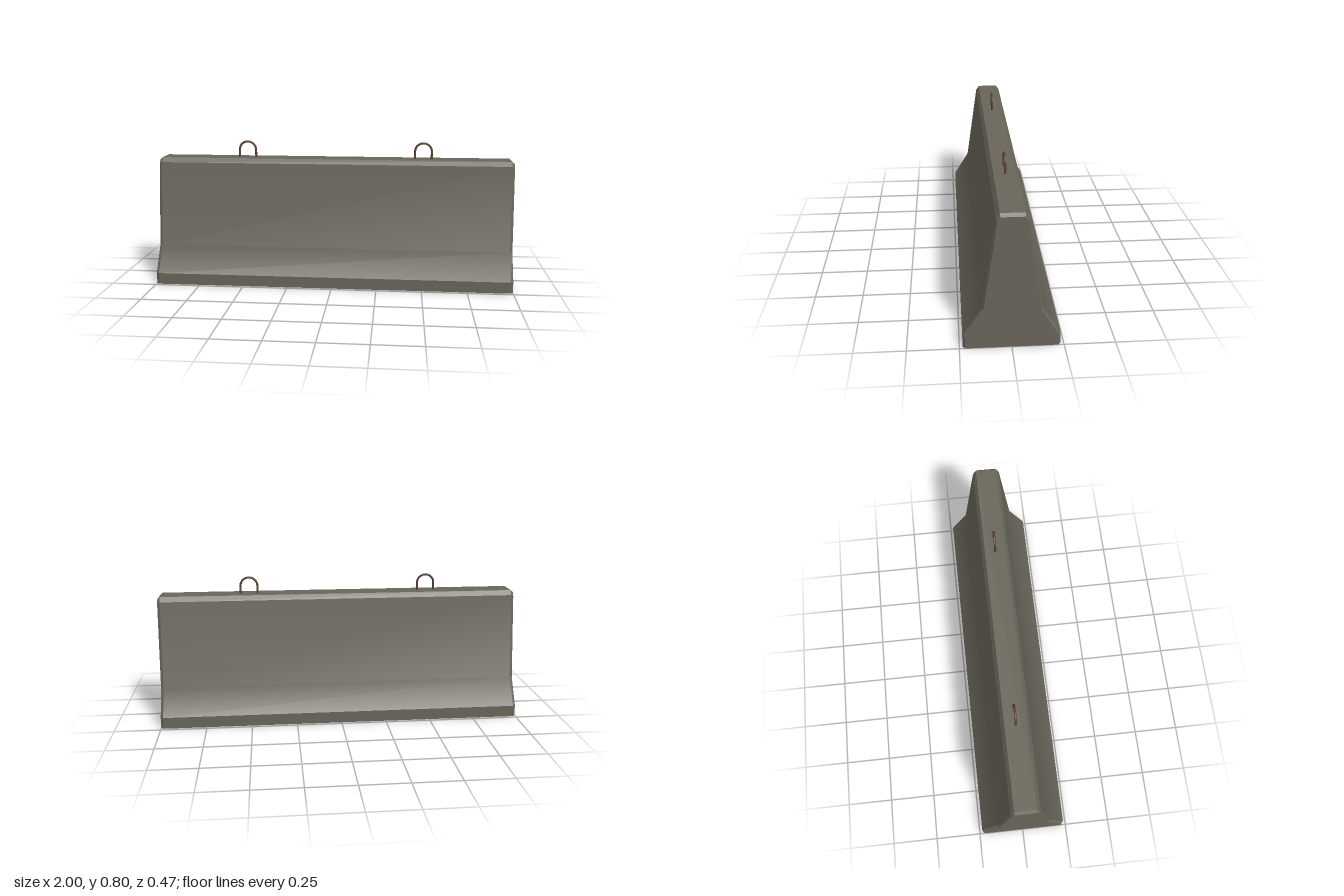
import * as THREE from 'three';

// Half profile of the barrier as [z, y], from the foot up to the crown
const OUTER = [[0.234, 0], [0.234, 0.063], [0.143, 0.208], [0.076, 0.676], [0.058, 0.702]];
// The same profile drawn in for the chamfered end faces
const INNER = [[0.222, 0], [0.222, 0.06], [0.136, 0.203], [0.068, 0.668], [0.056, 0.688]];
const END = 1, SHOULDER = 0.985;

// Closed section at x, running up the front and down the back
function section(half, x) {
  const front = half.map(([z, y]) => [x, y, z]);
  const back = half.map(([z, y]) => [x, y, -z]).reverse();
  return [...front, ...back];
}

function geometryFrom(positions, index) {
  const g = new THREE.BufferGeometry();
  g.setAttribute('position', new THREE.Float32BufferAttribute(positions.flat(), 3));
  if (index) g.setIndex(index);
  g.computeVertexNormals();
  return g;
}

export function createModel() {
  const model = new THREE.Group();
  const concrete = new THREE.MeshStandardMaterial({ color: 0x69655a });
  concrete.name = 'concrete';
  const rust = new THREE.MeshStandardMaterial({ color: 0x5f4330 });
  rust.name = 'rustySteel';

  const add = (parent, name, geometry, material) => {
    const mesh = new THREE.Mesh(geometry, material);
    mesh.name = name;
    parent.add(mesh);
    return mesh;
  };

  const barrier = new THREE.Group();
  barrier.name = 'barrier';
  model.add(barrier);

  const rings = [section(INNER, -END), section(OUTER, -SHOULDER), section(OUTER, SHOULDER), section(INNER, END)];
  const n = rings[0].length;

  // Sloping sides: skirt and upper wall share a softened bend
  for (const [name, start] of [['frontSlope', 1], ['backSlope', 6]]) {
    const points = [];
    for (let k = start; k < start + 3; k++) points.push(rings[1][k], rings[2][k]);
    const index = [];
    for (let a = 0; a < 4; a += 2) index.push(a, a + 1, a + 3, a, a + 3, a + 2);
    add(barrier, name, geometryFrom(points, index), concrete);
  }

  // Flat foot, crown and underside strips, and the chamfers round both ends
  const slopes = [1, 2, 6, 7];
  const flat = [];
  for (let r = 0; r < 3; r++) {
    for (let k = 0; k < n; k++) {
      if (r === 1 && slopes.includes(k)) continue;
      const j = (k + 1) % n;
      const [a, b, c, d] = [rings[r][k], rings[r + 1][k], rings[r + 1][j], rings[r][j]];
      flat.push(a, b, c, a, c, d);
    }
  }
  add(barrier, 'footCrownAndChamfers', geometryFrom(flat), concrete);

  // End faces, built as bands between the front and back edges
  for (const [name, ring, side] of [['leftEnd', rings[3], 1], ['rightEnd', rings[0], -1]]) {
    const face = [];
    for (let k = 0; k < n / 2 - 1; k++) {
      const [a, b, c, d] = [ring[k], ring[n - 1 - k], ring[n - 2 - k], ring[k + 1]];
      face.push(...(side > 0 ? [a, b, c, a, c, d] : [a, c, b, a, d, c]));
    }
    add(barrier, name, geometryFrom(face), concrete);
  }

  // Steel lifting loops set into the crown
  const R = 0.047, Y = 0.744;
  const path = new THREE.CurvePath();
  const arc = [];
  for (let i = 0; i <= 12; i++) {
    const t = Math.PI * (1 - i / 12);
    arc.push(new THREE.Vector3(R * Math.cos(t), Y + R * Math.sin(t), 0));
  }
  path.add(new THREE.LineCurve3(new THREE.Vector3(-R, 0.68, 0), arc[0]));
  path.add(new THREE.CatmullRomCurve3(arc));
  path.add(new THREE.LineCurve3(arc[12], new THREE.Vector3(R, 0.68, 0)));
  const loop = new THREE.TubeGeometry(path, 40, 0.006, 8);
  for (const [name, x] of [['leftLiftingLoop', 0.5], ['rightLiftingLoop', -0.5]]) {
    add(model, name, loop, rust).position.x = x;
  }
  return model;
}
